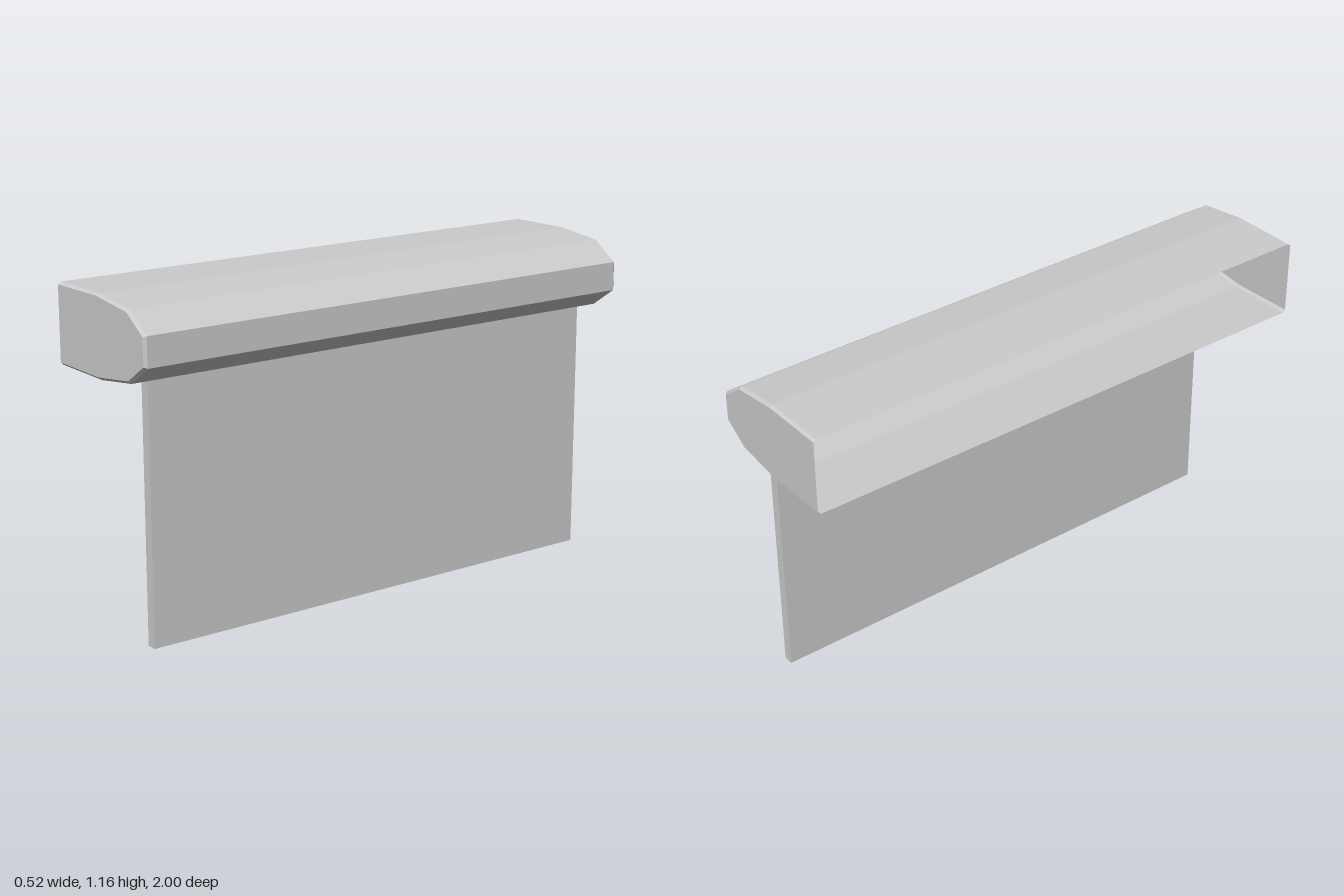
import * as THREE from 'three';

const grey = new THREE.MeshStandardMaterial({ color: 0xcccccc });
const shellGrey = new THREE.MeshStandardMaterial({ color: 0xcccccc, flatShading: true, side: THREE.DoubleSide });

// Housing cross-section (x, y), from the top of the open side round the nose to the bottom
const outer = [
  [-0.26, 1.157], [-0.015, 1.159], [0.163, 1.138], [0.26, 1.07],
  [0.26, 0.967], [0.163, 0.9], [-0.015, 0.877], [-0.26, 0.88],
];
// Same section, slightly smaller, for the chamfered ends
const inner = [
  [-0.26, 1.149], [-0.02, 1.151], [0.16, 1.129], [0.251, 1.066],
  [0.251, 0.971], [0.16, 0.909], [-0.02, 0.886], [-0.26, 0.889],
];

// Thin shell through the sections, closed at both ends and open along -x
function shellGeometry() {
  const stations = [[inner, -1], [outer, -0.99], [outer, 0.99], [inner, 1]];
  const pos = [];
  const index = [];
  const n = outer.length;
  for (const [ring, z] of stations) for (const [x, y] of ring) pos.push(x, y, z);
  for (let s = 0; s < stations.length - 1; s++) {
    for (let j = 0; j < n - 1; j++) {
      const a = s * n + j, d = a + n;
      index.push(a, d, d + 1, a, d + 1, a + 1);
    }
  }
  // End caps as fans
  const last = (stations.length - 1) * n;
  for (let j = 1; j < n - 1; j++) {
    index.push(0, j, j + 1);
    index.push(last, last + j + 1, last + j);
  }
  const g = new THREE.BufferGeometry();
  g.setAttribute('position', new THREE.Float32BufferAttribute(pos, 3));
  g.setIndex(index);
  const flat = g.toNonIndexed();
  flat.computeVertexNormals();
  return flat;
}

export function createModel() {
  const group = new THREE.Group();
  group.name = 'rollerScreen';

  const housing = new THREE.Mesh(shellGeometry(), shellGrey);
  housing.name = 'housing';
  group.add(housing);

  // Hanging panel, its top edge just inside the housing
  const height = 0.905;
  const panel = new THREE.Mesh(new THREE.BoxGeometry(0.036, height, 1.842), grey);
  panel.name = 'hangingPanel';
  panel.position.set(0.134, height / 2, 0.004);
  group.add(panel);

  return group;
}
